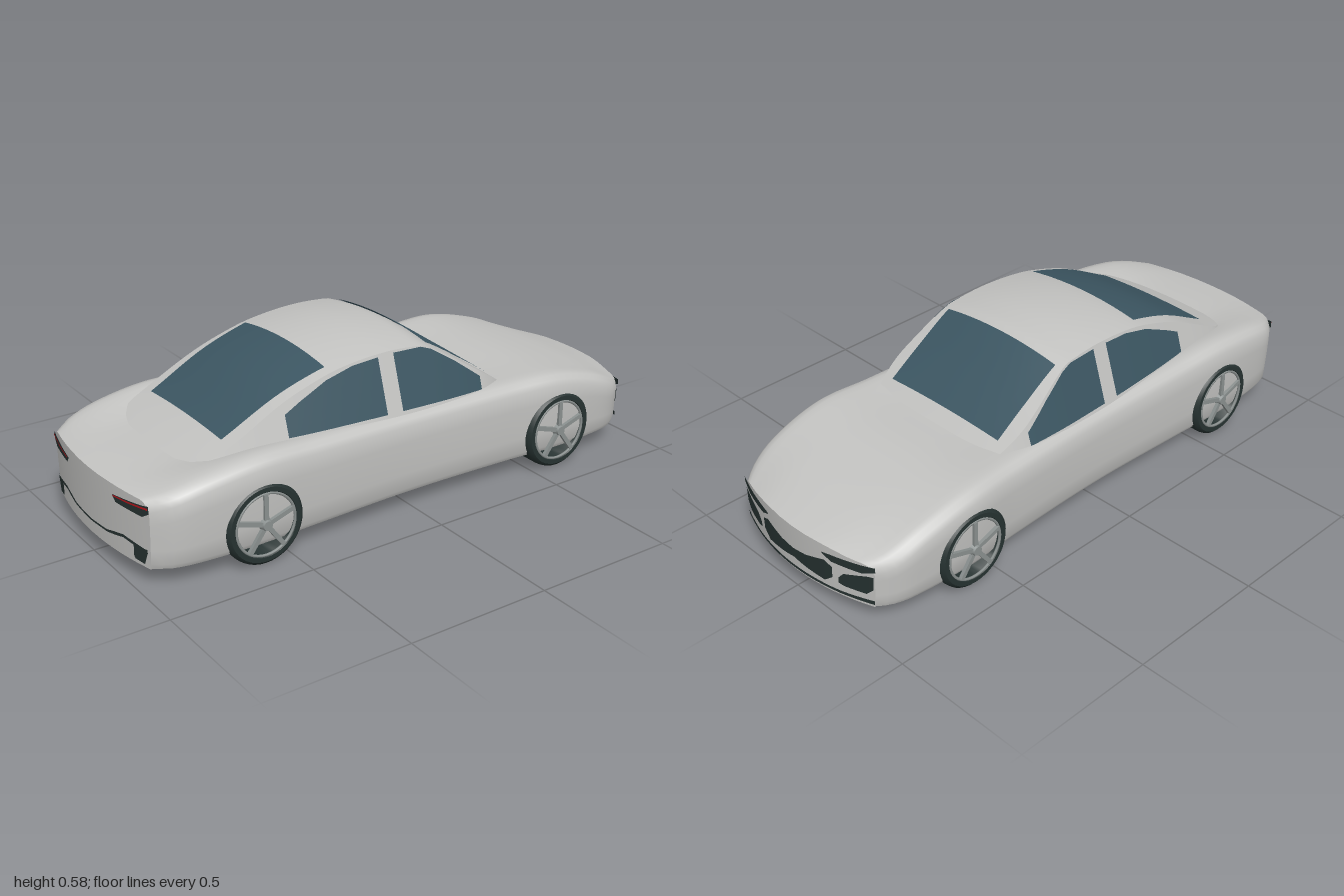
import * as THREE from 'three';
import { toCreasedNormals } from 'three/addons/utils/BufferGeometryUtils.js';

const { lerp, clamp, smoothstep } = THREE.MathUtils;

// Smooth curve through [position, value] pairs
function curve(p) {
  const slope = i => {
    const a = p[Math.max(i - 1, 0)], b = p[Math.min(i + 1, p.length - 1)];
    return (b[1] - a[1]) / (b[0] - a[0]);
  };
  return z => {
    z = clamp(z, p[0][0], p[p.length - 1][0]);
    let i = 0;
    while (i < p.length - 2 && z > p[i + 1][0]) i++;
    const h = p[i + 1][0] - p[i][0], t = (z - p[i][0]) / h, s = 1 - t;
    return p[i][1] * (1 + 2 * t) * s * s + slope(i) * h * t * s * s
      + p[i + 1][1] * t * t * (3 - 2 * t) - slope(i + 1) * h * t * t * s;
  };
}

// Skin over equal-length rows of [x, y, z]
function skin(rows, crease = 0.6) {
  const n = rows[0].length, index = [];
  for (let i = 0; i < rows.length - 1; i++) {
    for (let j = 0; j < n - 1; j++) {
      const a = i * n + j, c = a + n;
      index.push(a, c, a + 1, c, c + 1, a + 1);
    }
  }
  const g = new THREE.BufferGeometry();
  g.setAttribute('position', new THREE.Float32BufferAttribute(rows.flat(2), 3));
  g.setIndex(index);
  return toCreasedNormals(g, crease);
}

// Thin panel from columns [u, top, bottom], laid on a surface by map(u, v)
function panel(cols, map, across = 6, up = 4) {
  const rows = [];
  for (let i = 0; i < cols.length - 1; i++) {
    for (let k = i ? 1 : 0; k <= across; k++) {
      const [u, top, low] = cols[i].map((v, c) => lerp(v, cols[i + 1][c], k / across));
      rows.push(Array.from({ length: up + 1 }, (_, j) => map(u, lerp(low, top, j / up))));
    }
  }
  return skin(rows);
}

// Lower body: half width, centre height and shoulder height along z
const FLOOR = 0.065;
const halfWidth = curve([[-1, 0.32], [-0.95, 0.353], [-0.85, 0.376], [-0.6, 0.389], [-0.4, 0.375], [0, 0.364],
  [0.4, 0.379], [0.6, 0.389], [0.8, 0.383], [0.93, 0.363], [1, 0.322]]);
const deckY = curve([[-1, 0.235], [-0.95, 0.252], [-0.8, 0.302], [-0.6, 0.34], [-0.4, 0.338], [0, 0.33],
  [0.6, 0.32], [0.78, 0.32], [0.9, 0.31], [1, 0.295]]);
const shoulderY = curve([[-1, 0.225], [-0.95, 0.242], [-0.8, 0.298], [-0.6, 0.343], [-0.4, 0.346], [0, 0.346],
  [0.4, 0.356], [0.6, 0.363], [0.8, 0.34], [0.93, 0.312], [1, 0.293]]);
const topY = (t, z) => lerp(deckY(z), shoulderY(z), smoothstep(t, 0.4, 0.86))
  - 0.035 * Math.max(0, (t - 0.86) / 0.14) ** 3;
const bowed = (x, z) => z - Math.sign(z) * (z < 0 ? 0.06 : 0.04) * (x / 0.32) ** 2 * z ** 6;
const bodyPoint = (x, y, z) => [x * (1 - 0.025 * clamp((0.2 - y) / 0.14, 0, 1)), y, bowed(x, z)];
const STEPS = [0, 0.2, 0.4, 0.55, 0.7, 0.8, 0.87, 0.93, 0.97, 1];
const ACROSS = [...STEPS.slice(1).reverse().map(t => -t), ...STEPS];

function bodyRing(z) {
  const w = halfWidth(z), edge = topY(1, z);
  const top = ACROSS.map(t => [t * w, topY(Math.abs(t), z)]);
  const side = [0.25, 0.5, 0.75, 1].map(t => [w, lerp(edge, 0.083, t)]);
  side.push([w * 0.975, FLOOR], [w * 0.5, FLOOR]);
  const mirrored = side.slice().reverse().map(([x, y]) => [-x, y]);
  return [...top, ...side, [0, FLOOR], ...mirrored, top[0]].map(([x, y]) => bodyPoint(x, y, z));
}

// Cabin: roof height and base half width along z
const roofMid = curve([[-0.45, 0.315], [-0.4, 0.35], [-0.25, 0.457], [-0.1, 0.557], [-0.04, 0.57], [0.07, 0.576],
  [0.2, 0.566], [0.3, 0.546], [0.46, 0.488], [0.65, 0.385], [0.78, 0.322], [0.83, 0.3]]);
const baseX = curve([[-0.45, 0.25], [-0.38, 0.295], [-0.28, 0.327], [0, 0.336], [0.25, 0.328], [0.46, 0.31],
  [0.65, 0.283], [0.74, 0.25], [0.83, 0.15]]);
const sideX = (y, z) => baseX(z) - (y - 0.35) * 0.32;
const roofDrop = z => 0.0875 * (roofMid(z) - 0.25);
const railX = z => sideX(roofMid(z) - roofDrop(z), z);
const roofY = (x, z) => roofMid(z) - roofDrop(z) * (x / railX(z)) ** 2;

function cabinRing(z) {
  const rx = railX(z), ry = roofY(rx, z);
  const side = [0, 0.33, 0.67].map(t => {
    const y = lerp(0.27, ry, t);
    return [sideX(y, z), y, z];
  });
  const roof = [-1, -0.8, -0.6, -0.4, -0.2, 0, 0.2, 0.4, 0.6, 0.8, 1].map(t => [t * rx, roofY(t * rx, z), z]);
  return [...side.map(([x, y]) => [-x, y, z]), ...roof, ...side.reverse()];
}

const stations = (a, b, n) => Array.from({ length: n + 1 }, (_, i) => lerp(a, b, i / n));

export function createModel() {
  const model = new THREE.Group();
  const mat = (name, color, side = THREE.FrontSide) => {
    const m = new THREE.MeshStandardMaterial({ color, side });
    m.name = name;
    return m;
  };
  const paint = mat('silver paint', 0xc3c3c1);
  const glass = mat('tinted glass', 0x3c5662, THREE.DoubleSide);
  const black = mat('black trim', 0x263231, THREE.DoubleSide);
  const red = mat('red lamp', 0xb3161c, THREE.DoubleSide);
  const alloy = mat('grey alloy', 0x8b9190);
  const add = (name, geometry, material, parent = model) => {
    const m = new THREE.Mesh(geometry, material);
    m.name = name;
    parent.add(m);
    return m;
  };

  // Body shell, closed by a bowed fascia at each end
  add('bodyShell', skin(stations(-1, 1, 64).map(bodyRing)), paint);
  for (const end of [1, -1]) {
    const w = halfWidth(end);
    const cols = ACROSS.map(t => [t * w * end, topY(Math.abs(t), end), FLOOR]);
    add(end > 0 ? 'rearFascia' : 'noseFascia', panel(cols, (x, y) => bodyPoint(x, y, end), 1), paint);
  }

  // Cabin and its front and rear screens
  add('cabin', skin(stations(-0.45, 0.83, 56).map(cabinRing)), paint);
  const screenMap = (z, x) => [x, roofY(x, z) + 0.005, z];
  add('windscreen', panel([[-0.37, 0.255, -0.255], [-0.11, 0.253, -0.253]], screenMap, 14, 10), glass);
  add('rearScreen', panel([[0.28, 0.24, -0.24], [0.655, 0.228, -0.228]], screenMap, 14, 10), glass);

  // Side windows as [z, top, bottom]
  const frontWindow = [[-0.295, 0.392, 0.348], [-0.2, 0.463, 0.351], [-0.11, 0.522, 0.353], [-0.07, 0.537, 0.354],
    [0.04, 0.541, 0.357]];
  const backWindow = [[0.1, 0.539, 0.358], [0.2, 0.532, 0.36], [0.3, 0.508, 0.361], [0.4, 0.464, 0.362],
    [0.46, 0.434, 0.363]];
  for (const s of [1, -1]) {
    const map = (z, y) => [s * (sideX(y, z) + 0.004), y, z];
    add('frontSideWindow', panel(frontWindow, map), glass);
    add('backSideWindow', panel(backWindow, map), glass);
  }

  // Lamps and trim at both ends as [x, top, bottom]
  const tailLamp = [[0.152, 0.262, 0.26], [0.168, 0.264, 0.241], [0.295, 0.277, 0.239], [0.325, 0.283, 0.257]];
  const tailStripe = [[0.16, 0.264, 0.259], [0.25, 0.27, 0.264], [0.323, 0.277, 0.27]];
  const rearStrip = [[0, 0.118, 0.111], [0.06, 0.121, 0.114], [0.11, 0.123, 0.115], [0.15, 0.133, 0.122],
    [0.2, 0.142, 0.132], [0.25, 0.137, 0.126]];
  const rearVent = [[0.25, 0.137, 0.09], [0.256, 0.136, 0.081], [0.3, 0.131, 0.078], [0.314, 0.132, 0.12]];
  const headlamp = [[0.135, 0.208, 0.203], [0.17, 0.212, 0.186], [0.28, 0.219, 0.188], [0.325, 0.224, 0.205]];
  const grille = [[0, 0.152, 0.117], [0.06, 0.158, 0.108], [0.14, 0.18, 0.1], [0.172, 0.166, 0.125]];
  const sideIntake = [[0.195, 0.135, 0.115], [0.215, 0.158, 0.11], [0.295, 0.182, 0.112], [0.318, 0.185, 0.135]];
  const splitter = [[0, 0.087, 0.077], [0.2, 0.087, 0.077], [0.323, 0.094, 0.079]];
  for (const s of [1, -1]) {
    const on = (end, lift) => (x, y) => {
      const p = bodyPoint(s * x, y, end);
      return [p[0], y, p[2] + end * lift];
    };
    add('tailLamp', panel(tailLamp, on(1, 0.004)), black);
    add('tailLampStripe', panel(tailStripe, on(1, 0.007)), red);
    add('rearTrimStrip', panel(rearStrip, on(1, 0.004)), black);
    add('rearVent', panel(rearVent, on(1, 0.004)), black);
    add('headlamp', panel(headlamp, on(-1, 0.004)), black);
    add('grilleHalf', panel(grille, on(-1, 0.004)), black);
    add('sideIntake', panel(sideIntake, on(-1, 0.004)), black);
    add('splitter', panel(splitter, on(-1, 0.006)), black);
  }

  // Wheels: axis along local y, outer face at the top
  const tyreProfile = [[0.108, 0], [0.128, 0], [0.138, 0.01], [0.14, 0.022], [0.14, 0.085], [0.137, 0.1],
    [0.127, 0.109], [0.112, 0.109], [0.108, 0.104], [0.108, 0]].map(p => new THREE.Vector2(...p));
  const tyre = toCreasedNormals(new THREE.LatheGeometry(tyreProfile, 40), 0.7);
  const rimRing = new THREE.TorusGeometry(0.106, 0.005, 6, 40).rotateX(Math.PI / 2);
  const spoke = new THREE.BoxGeometry(0.09, 0.012, 0.015).translate(0.06, 0, 0);
  const hub = new THREE.CylinderGeometry(0.016, 0.024, 0.024, 16);
  for (const s of [1, -1]) {
    for (const z of [-0.6, 0.6]) {
      const wheel = new THREE.Group();
      wheel.name = z < 0 ? 'frontWheel' : 'rearWheel';
      wheel.position.set(s * 0.285, 0.14, z);
      wheel.rotation.z = -s * Math.PI / 2;
      add('tyre', tyre, black, wheel);
      add('rimRing', rimRing, alloy, wheel).position.y = 0.105;
      add('hub', hub, alloy, wheel).position.y = 0.107;
      for (let i = 0; i < 5; i++) {
        const m = add('spoke', spoke, alloy, wheel);
        m.position.y = 0.106;
        m.rotation.y = i * Math.PI * 0.4 + (s > 0 ? Math.PI : 0);
      }
      model.add(wheel);
    }
  }
  return model;
}
